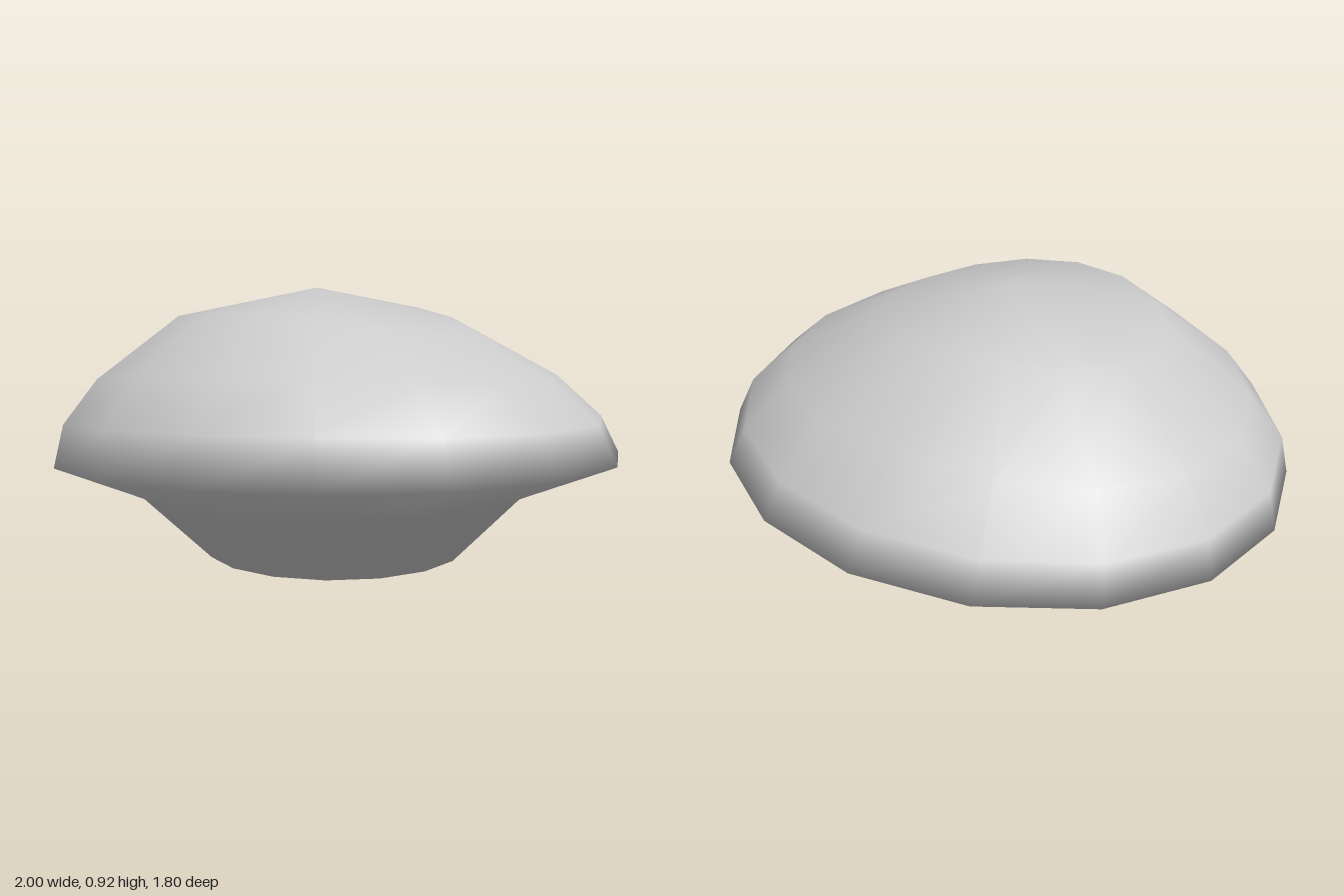
import * as THREE from 'three';

const SIDES = 16;

// Rings from the foot up: centre x/z, radii x/z, mean height, tilt along x/z, saddle bend
const RINGS = [
  { cx: 0.02, cz: 0.02, rx: 0.447, rz: 0.43, y: 0.011, tx: 0.007, tz: 0.005, bend: 0 },
  { cx: 0, cz: 0.01, rx: 0.69, rz: 0.61, y: 0.225, tx: 0.025, tz: 0.015, bend: 0 },
  { cx: 0, cz: 0, rx: 1, rz: 0.9, y: 0.347, tx: 0.04, tz: 0.026, bend: -0.006 },
  { cx: -0.015, cz: 0.005, rx: 0.955, rz: 0.845, y: 0.48, tx: 0.04, tz: 0.04, bend: -0.01 },
  { cx: -0.03, cz: 0.02, rx: 0.82, rz: 0.71, y: 0.631, tx: 0.032, tz: 0.025, bend: -0.024 },
  { cx: -0.025, cz: 0.045, rx: 0.515, rz: 0.445, y: 0.826, tx: -0.012, tz: 0, bend: -0.029 },
];

function buildShell() {
  const points = [];
  const faces = [];
  for (const r of RINGS) {
    for (let i = 0; i < SIDES; i++) {
      const a = (i / SIDES) * Math.PI * 2;
      const c = Math.cos(a);
      const s = Math.sin(a);
      points.push(
        r.cx + r.rx * c,
        r.y + r.tx * c + r.tz * s + r.bend * Math.cos(2 * a),
        r.cz + r.rz * s,
      );
    }
  }
  // Centre points of the foot and the crown
  const foot = points.length / 3;
  const crown = foot + 1;
  points.push(0.02, 0.008, 0.02, -0.03, 0.925, 0.05);

  const last = (RINGS.length - 1) * SIDES;
  for (let i = 0; i < SIDES; i++) {
    const j = (i + 1) % SIDES;
    for (let k = 0; k < last; k += SIDES) {
      faces.push(k + i, k + SIDES + i, k + j);
      faces.push(k + j, k + SIDES + i, k + SIDES + j);
    }
    faces.push(foot, i, j);
    faces.push(crown, last + j, last + i);
  }
  const geometry = new THREE.BufferGeometry();
  geometry.setAttribute('position', new THREE.Float32BufferAttribute(points, 3));
  geometry.setIndex(faces);
  geometry.computeVertexNormals(); // one smooth skin, shared across the rim
  return geometry;
}

export function createModel() {
  const group = new THREE.Group();
  group.name = 'domedStone';
  const material = new THREE.MeshStandardMaterial({ color: 0xcccccc, side: THREE.DoubleSide });
  const shell = new THREE.Mesh(buildShell(), material);
  shell.name = 'capAndFoot';
  group.add(shell);
  return group;
}
